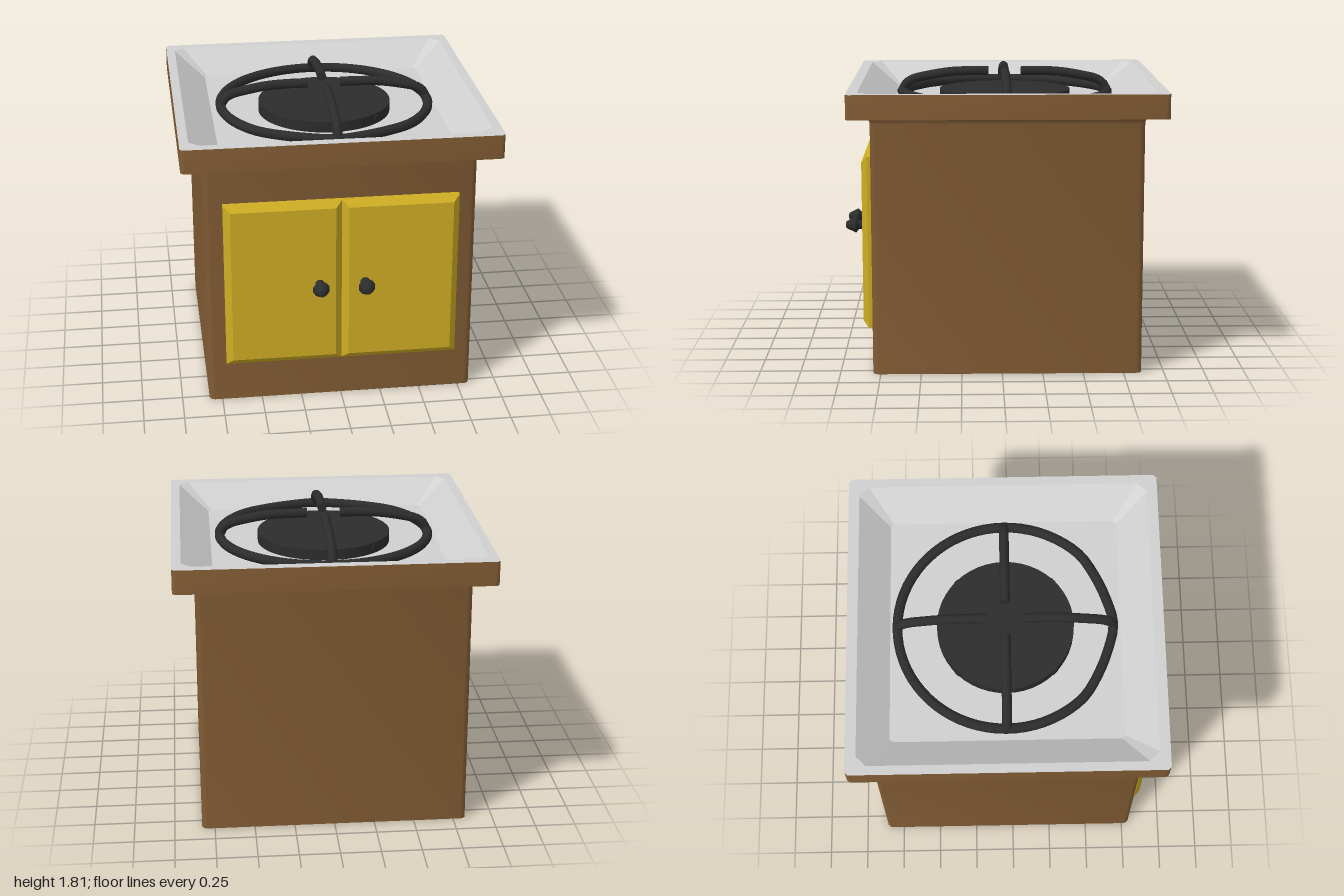
import * as THREE from 'three';
import { toCreasedNormals } from 'three/addons/utils/BufferGeometryUtils.js';

const paint = (name, color) => {
  const m = new THREE.MeshStandardMaterial({ color });
  m.name = name;
  return m;
};

// Rectangle with cut or rounded corners, counterclockwise seen from above (+y)
function rectLoop(y, hx, hz, r, seg) {
  const pts = [];
  for (const [sx, sz, a0] of [[1, 1, 0], [-1, 1, 1], [-1, -1, 2], [1, -1, 3]]) {
    for (let i = 0; i <= seg; i++) {
      const a = (a0 + i / seg) * Math.PI / 2;
      pts.push(new THREE.Vector3(sx * (hx - r) + r * Math.cos(a), y, -sz * (hz - r) - r * Math.sin(a)));
    }
  }
  return pts;
}

// Skin between successive loops, with optional flat ends
function loft(loops, { start = false, end = false, crease = 0.6 } = {}) {
  const tris = [];
  const n = loops[0].length;
  for (let k = 0; k < loops.length - 1; k++) {
    for (let i = 0; i < n; i++) {
      const j = (i + 1) % n;
      const a = loops[k][i], b = loops[k][j], c = loops[k + 1][j], d = loops[k + 1][i];
      tris.push(a, b, c, a, c, d);
    }
  }
  const first = loops[0], last = loops[loops.length - 1];
  for (let i = 1; i < n - 1; i++) {
    if (start) tris.push(first[0], first[i + 1], first[i]);
    if (end) tris.push(last[0], last[i], last[i + 1]);
  }
  const g = new THREE.BufferGeometry().setFromPoints(tris);
  return toCreasedNormals(g, crease);
}

export function createModel() {
  const wood = paint('brown wood', 0x835d35);
  const yellow = paint('yellow door paint', 0xcfae23);
  const enamel = paint('pale grey enamel', 0xd0d0d0);
  const iron = paint('black iron', 0x2c2c2c);

  const model = new THREE.Group();
  model.name = 'stove';
  const add = (parent, name, geometry, material) => {
    const mesh = new THREE.Mesh(geometry, material);
    mesh.name = name;
    parent.add(mesh);
    return mesh;
  };

  // Everything but the doors is centred slightly behind the origin
  const stove = new THREE.Group();
  stove.name = 'stoveBody';
  stove.position.z = -0.032;
  model.add(stove);

  // Cabinet with a cove flaring out under the worktop
  const cabinet = [rectLoop(0, 0.83, 0.83, 0.035, 3)];
  for (let i = 0; i <= 4; i++) {
    const a = i / 4 * Math.PI / 2;
    const out = 0.83 + 0.045 * (1 - Math.cos(a));
    cabinet.push(rectLoop(1.555 + 0.045 * Math.sin(a), out, out, 0.035, 3));
  }
  add(stove, 'cabinet', loft(cabinet), wood);
  add(stove, 'cabinetBase', loft([rectLoop(0, 0.83, 0.83, 0.035, 3), rectLoop(0.001, 0.83, 0.83, 0.035, 3)], { start: true }), iron);

  // Worktop edge and the recessed tray
  add(stove, 'worktopEdge', loft([
    rectLoop(1.6, 0.8, 0.8, 0.03, 3),
    rectLoop(1.6, 0.966, 0.966, 0.03, 3),
    rectLoop(1.75, 0.966, 0.966, 0.03, 3),
  ]), wood);
  add(stove, 'tray', loft([
    rectLoop(1.75, 0.966, 0.966, 0.02, 1),
    rectLoop(1.75, 0.91, 0.9, 0.06, 1),
    rectLoop(1.605, 0.72, 0.71, 0.02, 1),
  ], { end: true, crease: 0.3 }), enamel);

  // Burner plate with small studs round its side
  const burner = new THREE.Group();
  burner.name = 'burner';
  stove.add(burner);
  add(burner, 'burnerPlate', new THREE.CylinderGeometry(0.42, 0.42, 0.075, 48), iron).position.y = 1.635;
  for (let i = 0; i < 4; i++) {
    const a = (i + 0.5) * Math.PI / 2;
    const stud = add(burner, 'burnerStud', new THREE.CylinderGeometry(0.025, 0.025, 0.012, 10).rotateX(Math.PI / 2), iron);
    stud.position.set(0.42 * Math.sin(a), 1.64, 0.42 * Math.cos(a));
    stud.rotation.y = a;
  }

  // Pan support: a hand-bent ring, slightly pointed at the front
  const grate = new THREE.Group();
  grate.name = 'grate';
  stove.add(grate);
  const ringPts = [];
  for (let i = 0; i < 24; i++) {
    const a = i / 24 * Math.PI * 2;
    const flat = (i === 1 || i === 2 || i === 22 || i === 23) ? 0.975 : 1;
    const r = 0.663 * flat;
    ringPts.push(new THREE.Vector3(r * Math.sin(a), 1.655, r * Math.cos(a)));
  }
  add(grate, 'grateRing', new THREE.TubeGeometry(new THREE.CatmullRomCurve3(ringPts, true), 72, 0.031, 10, true), iron);

  // Four arms rising from the ring towards the middle
  const arm = new THREE.CatmullRomCurve3([
    [0.105, 1.785], [0.22, 1.785], [0.36, 1.778], [0.5, 1.755], [0.59, 1.733], [0.635, 1.705], [0.663, 1.655],
  ].map(([r, y]) => new THREE.Vector3(r, y, 0)));
  for (let i = 0; i < 4; i++) {
    const holder = new THREE.Group();
    holder.name = 'grateArm';
    holder.rotation.y = i * Math.PI / 2;
    grate.add(holder);
    add(holder, 'armRod', new THREE.TubeGeometry(arm, 24, 0.03, 10), iron);
    // closed inner end
    const cap = add(holder, 'armEnd', new THREE.CircleGeometry(0.03, 10), iron);
    cap.position.set(0.105, 1.785, 0);
    cap.rotation.y = -Math.PI / 2;
  }

  // Pair of bevelled doors with faceted knobs
  const knobProfile = [[0.03, 0], [0.03, 0.055], [0.053, 0.075], [0.022, 0.137], [0, 0.14]]
    .map(([r, y]) => new THREE.Vector2(r, y));
  const knobGeometry = toCreasedNormals(new THREE.LatheGeometry(knobProfile, 10).rotateX(Math.PI / 2), 0.1);
  const doorGeometry = loft([
    rectLoop(0, 0.36, 0.5375, 0, 1),
    rectLoop(0.03, 0.36, 0.5375, 0, 1),
    rectLoop(0.065, 0.32, 0.4975, 0, 1),
  ], { end: true, crease: 0.1 }).rotateX(Math.PI / 2);
  for (const [side, s] of [['left', 1], ['right', -1]]) {
    add(model, side + 'Door', doorGeometry, yellow).position.set(s * 0.36, 0.8025, 0.795);
    add(model, side + 'Knob', knobGeometry, iron).position.set(s * 0.14, 0.8, 0.86);
  }
  return model;
}
